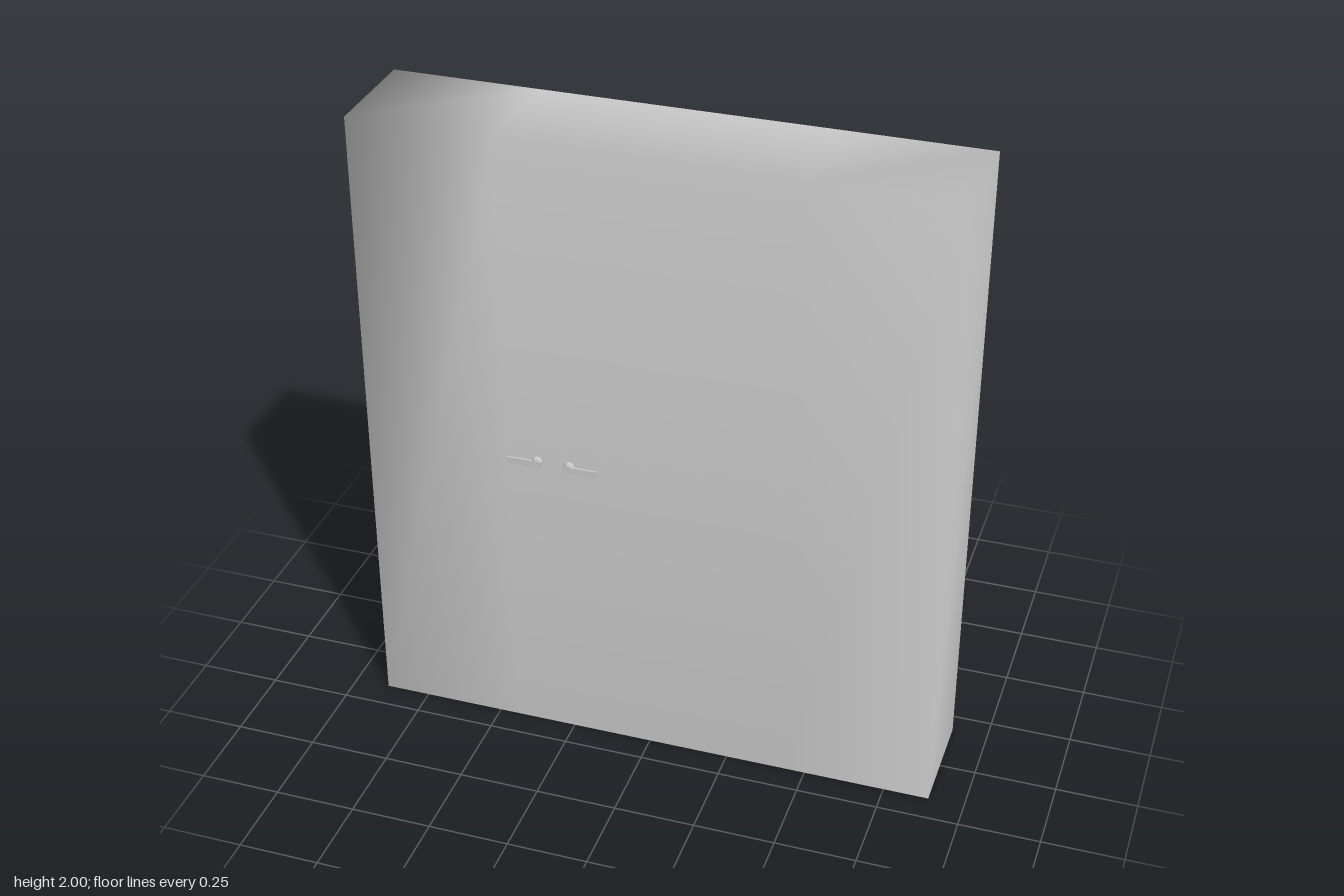
import * as THREE from 'three';
import { mergeVertices } from 'three/addons/utils/BufferGeometryUtils.js';

const WIDTH = 1.78, HEIGHT = 2, FRONT = 0.163, BACK = -0.183;

// Thin shell: front, two sides and top, open at the back and bottom,
// with normals shared across the corners
function shellGeometry() {
  let geo = new THREE.BoxGeometry(WIDTH, HEIGHT, FRONT - BACK, 4, 1, 1);
  const index = Array.from(geo.index.array);
  const kept = [0, 1, 2, 4].flatMap((g) => {
    const { start, count } = geo.groups[g];
    return index.slice(start, start + count);
  });
  geo.setIndex(kept);
  geo.clearGroups();
  geo.deleteAttribute('normal');
  geo.deleteAttribute('uv');
  geo = mergeVertices(geo);
  geo.computeVertexNormals();
  geo.translate(0, HEIGHT / 2, (FRONT + BACK) / 2);
  return geo;
}

export function createModel() {
  const model = new THREE.Group();
  model.name = 'doorPanel';
  const material = new THREE.MeshStandardMaterial({ color: 0xcccccc, side: THREE.DoubleSide });

  const add = (parent, name, geo, x, y, z) => {
    const mesh = new THREE.Mesh(geo, material);
    mesh.name = name;
    mesh.position.set(x, y, z);
    parent.add(mesh);
  };
  const disc = (rFront, rBack, depth) =>
    new THREE.CylinderGeometry(rFront, rBack, depth, 16).rotateX(Math.PI / 2);

  add(model, 'shell', shellGeometry(), 0, 0, 0);

  // Mirrored pair of lever handles, levers pointing away from each other
  for (const side of [-1, 1]) {
    const handle = new THREE.Group();
    handle.name = side < 0 ? 'rightHandle' : 'leftHandle';
    handle.position.set(-0.297 + side * 0.05, 0.97, FRONT);
    add(handle, 'collar', disc(0.012, 0.016, 0.007), 0, 0, 0.0035);
    add(handle, 'stem', disc(0.008, 0.008, 0.016), 0, 0, 0.008);
    add(handle, 'hub', disc(0.015, 0.015, 0.006), 0, 0, 0.017);
    add(handle, 'lever', new THREE.BoxGeometry(0.092, 0.02, 0.006), side * 0.046, 0, 0.017);
    add(handle, 'rearCap', disc(0.013, 0.013, 0.004), 0, 0, -0.002);
    model.add(handle);
  }
  return model;
}
